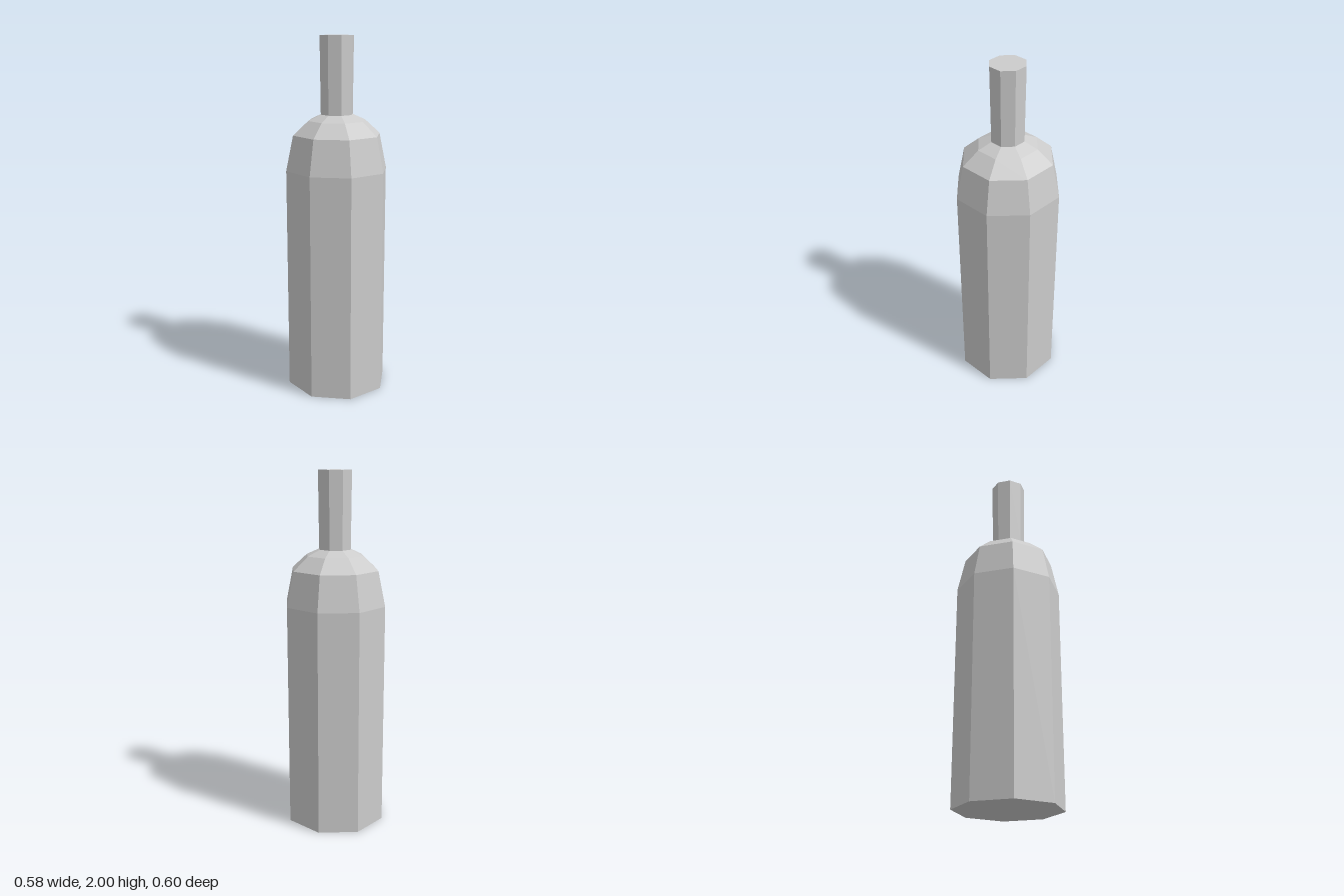
import * as THREE from 'three';

const SIDES = 8;

export function createModel() {
  const bottle = new THREE.Group();
  bottle.name = 'bottle';
  const material = new THREE.MeshStandardMaterial({ color: 0xcccccc, flatShading: true });

  const add = (name, geometry) => {
    // The octagonal section is slightly narrower in x than in z
    geometry.scale(0.97, 1, 1);
    const mesh = new THREE.Mesh(geometry, material);
    mesh.name = name;
    bottle.add(mesh);
  };

  const lathe = (points) =>
    new THREE.LatheGeometry(points.map(([r, y]) => new THREE.Vector2(r, y)), SIDES);

  // Straight eight-sided body
  add('body', lathe([[0.298, 0], [0.298, 1.27]]));

  // Shoulder closing in to the neck in three steps
  add('shoulder', lathe([[0.298, 1.27], [0.256, 1.465], [0.168, 1.542], [0.094, 1.575]]));

  // Neck, widening very slightly to the closed top
  add('neck', lathe([[0.094, 1.575], [0.099, 2]]));
  add('neckTop', new THREE.CircleGeometry(0.099, SIDES).rotateX(-Math.PI / 2).translate(0, 2, 0));

  // Flat base
  add('base', new THREE.CircleGeometry(0.298, SIDES).rotateX(Math.PI / 2));

  return bottle;
}
